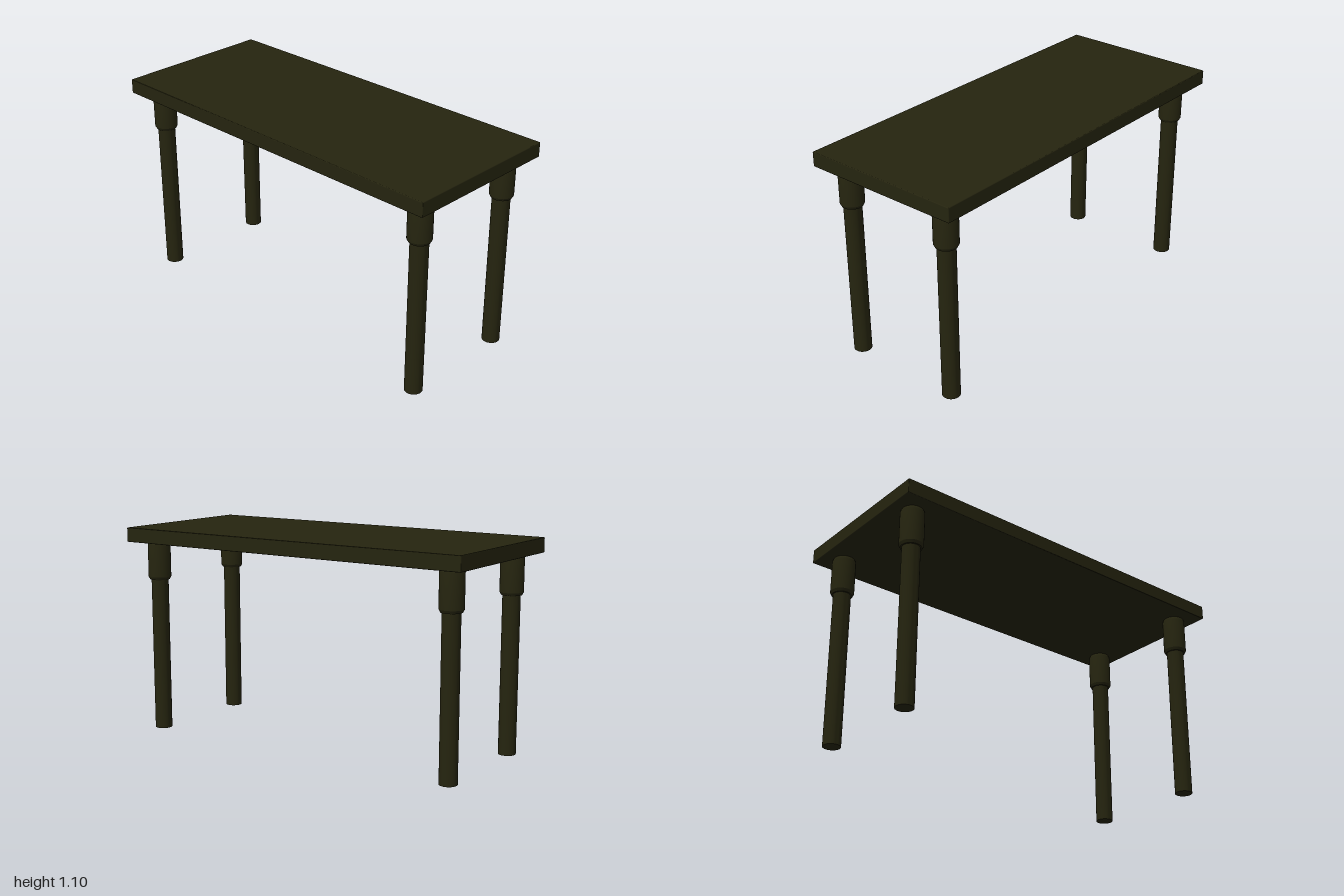
import * as THREE from 'three';
import { toCreasedNormals } from 'three/addons/utils/BufferGeometryUtils.js';
import { RoundedBoxGeometry } from 'three/addons/geometries/RoundedBoxGeometry.js';

const LEG_X = 0.302, LEG_Z = 0.889;

export function createModel() {
  const table = new THREE.Group();
  table.name = 'table';
  const darkWood = new THREE.MeshStandardMaterial({ color: 0x25240f });
  darkWood.name = 'darkWood';

  // Slab with slightly softened edges
  const top = new THREE.Mesh(new RoundedBoxGeometry(0.854, 0.076, 2, 2, 0.004), darkWood);
  top.name = 'tableTop';
  top.position.y = 1.057;
  table.add(top);

  // Turned leg: plain shaft, chamfered step, thick collar with a rounded shoulder
  const profile = [
    [0, 0], [0.045, 0], [0.045, 0.815], [0.052, 0.815], [0.06, 0.83],
    [0.06, 1.002], [0.058, 1.011], [0.053, 1.019], [0, 1.019],
  ].map(([r, y]) => new THREE.Vector2(r, y));
  const legGeometry = toCreasedNormals(new THREE.LatheGeometry(profile, 32), 0.45);

  for (const [sideName, sx] of [['Left', 1], ['Right', -1]]) {
    for (const [endName, sz] of [['front', 1], ['back', -1]]) {
      const leg = new THREE.Mesh(legGeometry, darkWood);
      leg.name = `${endName}${sideName}Leg`;
      leg.position.set(sx * LEG_X, 0, sz * LEG_Z);
      table.add(leg);
    }
  }
  return table;
}
